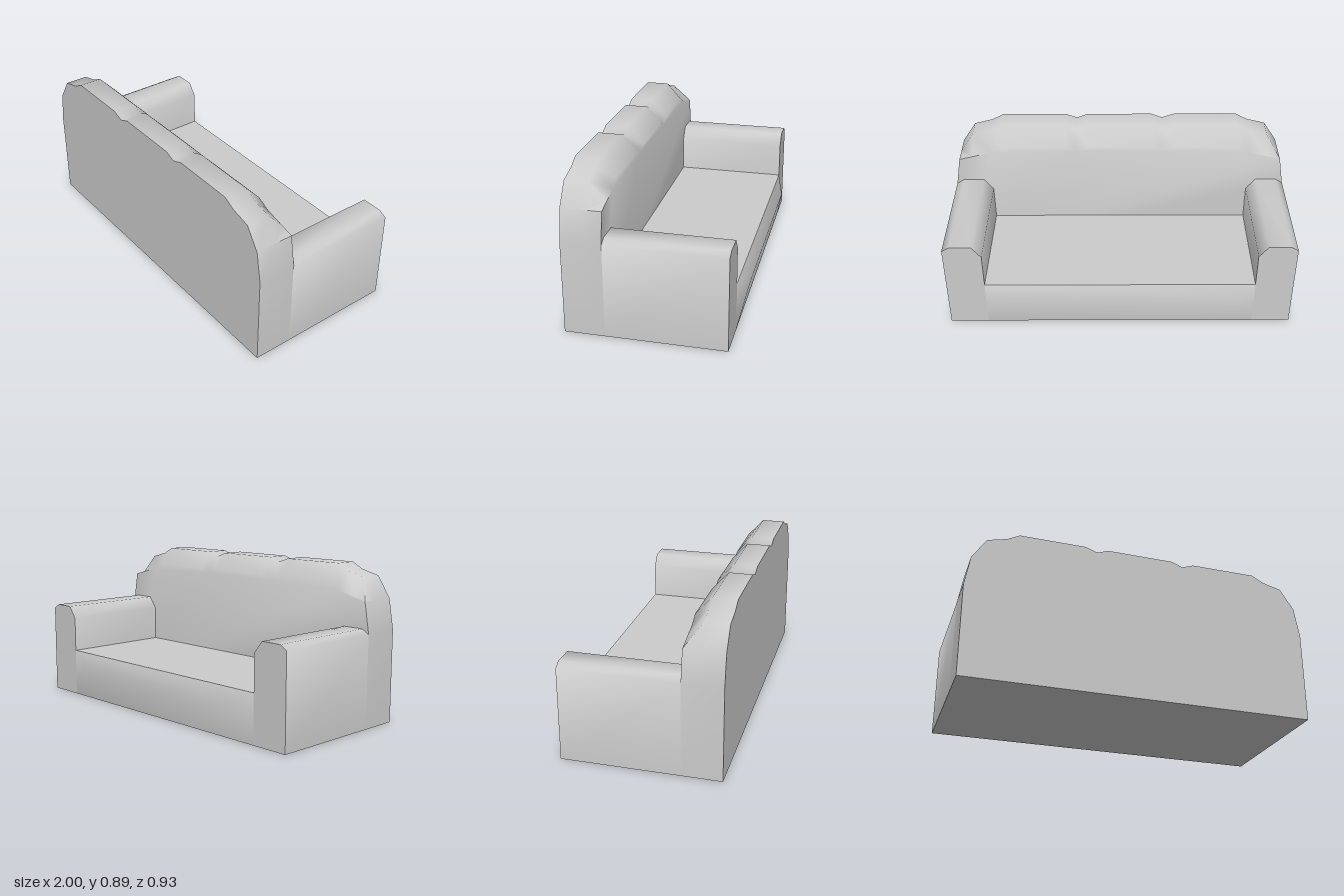
import * as THREE from 'three';
import { toCreasedNormals } from 'three/addons/utils/BufferGeometryUtils.js';
import { ConvexGeometry } from 'three/addons/geometries/ConvexGeometry.js';

const material = new THREE.MeshStandardMaterial({ color: 0xcccccc });

function addPart(group, name, geometry, crease) {
  const mesh = new THREE.Mesh(toCreasedNormals(geometry, crease), material);
  mesh.name = name;
  group.add(mesh);
  return mesh;
}

const toShape = (points) => new THREE.Shape(points.map(([x, y]) => new THREE.Vector2(x, y)));
const mirrorX = (points) => points.map(([x, y]) => [-x, y]).reverse();

// Backrest: three-cushion outline, with the upper front edge chamfered
function backrestGeometry() {
  const half = [
    [1, 0], [1, 0.53], [0.97, 0.705], [0.89, 0.825], [0.78, 0.853], [0.71, 0.89],
    [0.33, 0.89], [0.26, 0.865], [0.195, 0.89],
  ];
  const depth = 0.225;
  const geometry = new THREE.ExtrudeGeometry(toShape([...half, ...mirrorX(half)]), {
    depth, steps: 2, bevelEnabled: false,
  });
  const pos = geometry.attributes.position;
  for (let i = 0; i < pos.count; i++) {
    const t = pos.getZ(i) / depth;
    if (t < 0.25) {
      pos.setZ(i, 0.242);
      if (pos.getY(i) > 0.75) pos.setY(i, pos.getY(i) - 0.1);
    } else {
      pos.setZ(i, t < 0.75 ? 0.333 : 0.465);
    }
  }
  return geometry;
}

// Armrest: rounded-top profile run from the front to the backrest
function armGeometry(side) {
  const profile = [
    [0.78, 0], [1, 0], [1, 0.53], [0.957, 0.556], [0.833, 0.556], [0.78, 0.487],
  ];
  const geometry = new THREE.ExtrudeGeometry(toShape(side > 0 ? profile : mirrorX(profile)), {
    depth: 0.662, bevelEnabled: false,
  });
  return geometry.translate(0, 0, -0.42);
}

// Seat: block whose front swells out to a short ridge
function seatGeometry() {
  const points = [];
  for (const s of [-1, 1]) {
    for (const y of [0, 0.28]) {
      for (const z of [-0.42, 0.242]) points.push(new THREE.Vector3(s * 0.78, y, z));
    }
    points.push(new THREE.Vector3(s * 0.615, 0.212, -0.465));
  }
  return new ConvexGeometry(points);
}

export function createModel() {
  const group = new THREE.Group();
  group.name = 'sofa';
  addPart(group, 'backrest', backrestGeometry(), 1.1);
  addPart(group, 'leftArm', armGeometry(1), 1.1);
  addPart(group, 'rightArm', armGeometry(-1), 1.1);
  addPart(group, 'seat', seatGeometry(), 0.9);
  return group;
}
